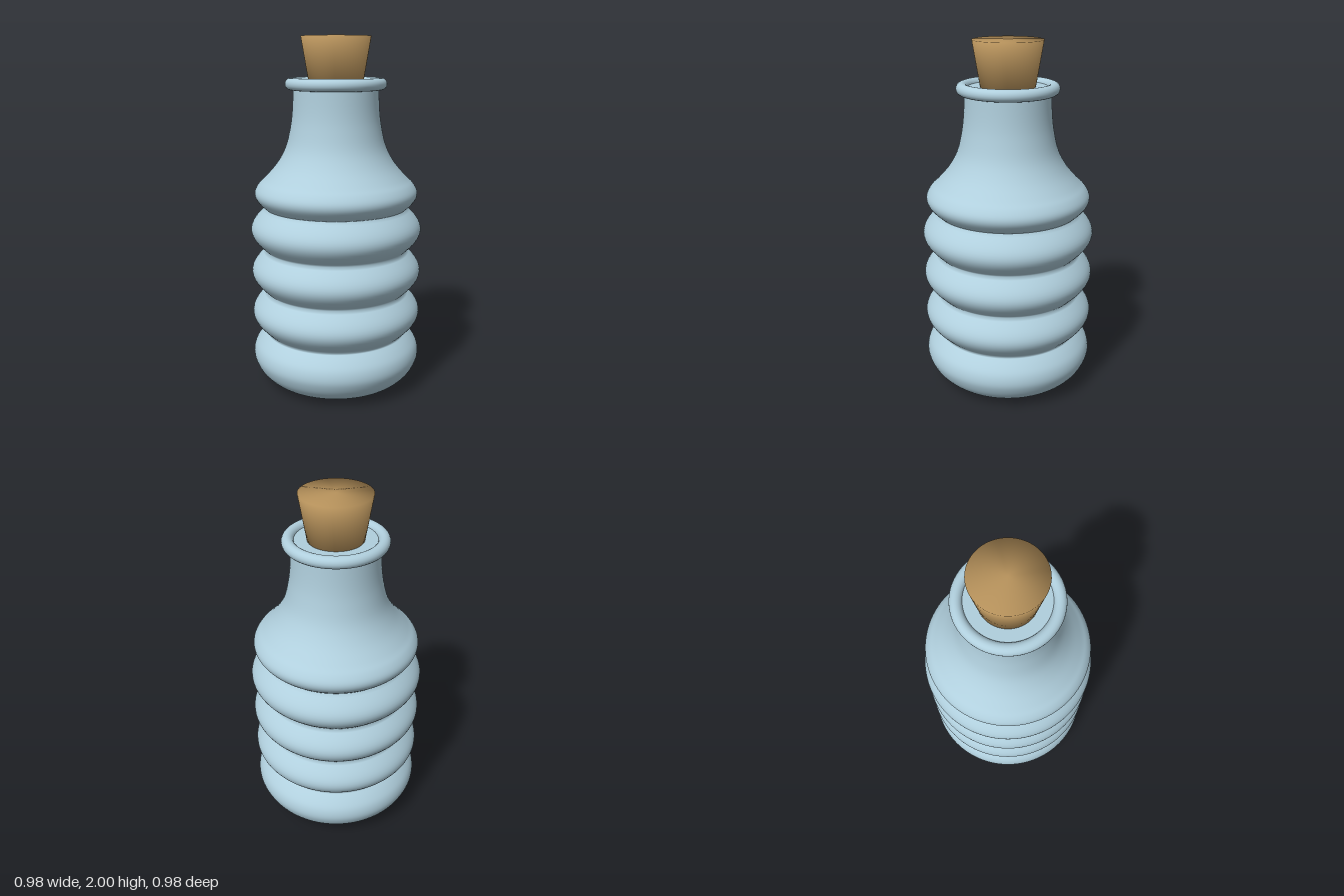
import * as THREE from 'three';

const glass = new THREE.MeshStandardMaterial({ name: 'paleBlueGlass', color: 0xb0cfdd });
const cork = new THREE.MeshStandardMaterial({ name: 'corkBrown', color: 0xb8935c });

const points = (pairs) => pairs.map(([x, y]) => new THREE.Vector2(x, y));
const smooth = (pairs, n) => new THREE.SplineCurve(points(pairs)).getPoints(n);

function addMesh(group, name, geometry, material) {
  const mesh = new THREE.Mesh(geometry, material);
  mesh.name = name;
  group.add(mesh);
  return mesh;
}

export function createModel() {
  const group = new THREE.Group();
  group.name = 'corkedBottle';

  // Rounded base up to the first groove
  const valley = 0.405, bulge = 0.083, pitch = 0.245, firstGroove = 0.315;
  const profile = [new THREE.Vector2(0, 0.004), ...smooth([
    [0.2, 0.002], [0.32, 0.012], [0.395, 0.04], [0.45, 0.09], [0.48, 0.145],
    [0.488, 0.19], [0.476, 0.238], [0.444, 0.28], [valley, firstGroove],
  ], 32)];

  // Three round ribs with creased grooves between them
  const steps = 16;
  for (let rib = 0; rib < 3; rib++) {
    for (let i = 1; i <= steps; i++) {
      const t = i / steps;
      profile.push(new THREE.Vector2(
        valley + bulge * Math.sin(Math.PI * t),
        firstGroove + pitch * (rib + t),
      ));
    }
  }

  // Shoulder and neck
  profile.push(...smooth([
    [valley, 1.05], [0.437, 1.08], [0.46, 1.115], [0.461, 1.15], [0.438, 1.188],
    [0.4, 1.225], [0.335, 1.3], [0.285, 1.39], [0.257, 1.5], [0.244, 1.6], [0.238, 1.73],
  ], 40).slice(1));
  addMesh(group, 'bottleBody', new THREE.LatheGeometry(profile, 96), glass);

  // Rolled lip
  const lip = addMesh(group, 'lip', new THREE.TorusGeometry(0.251, 0.033, 20, 96), glass);
  lip.rotation.x = -Math.PI / 2;
  lip.position.y = 1.742;

  // Surface inside the mouth
  const mouth = addMesh(group, 'mouthSurface', new THREE.CircleGeometry(0.23, 64), glass);
  mouth.rotation.x = -Math.PI / 2;
  mouth.position.y = 1.75;

  // Tapered stopper
  addMesh(group, 'stopper', new THREE.LatheGeometry(
    points([[0, 1.735], [0.149, 1.735], [0.194, 2], [0, 2]]), 64), cork);

  return group;
}
